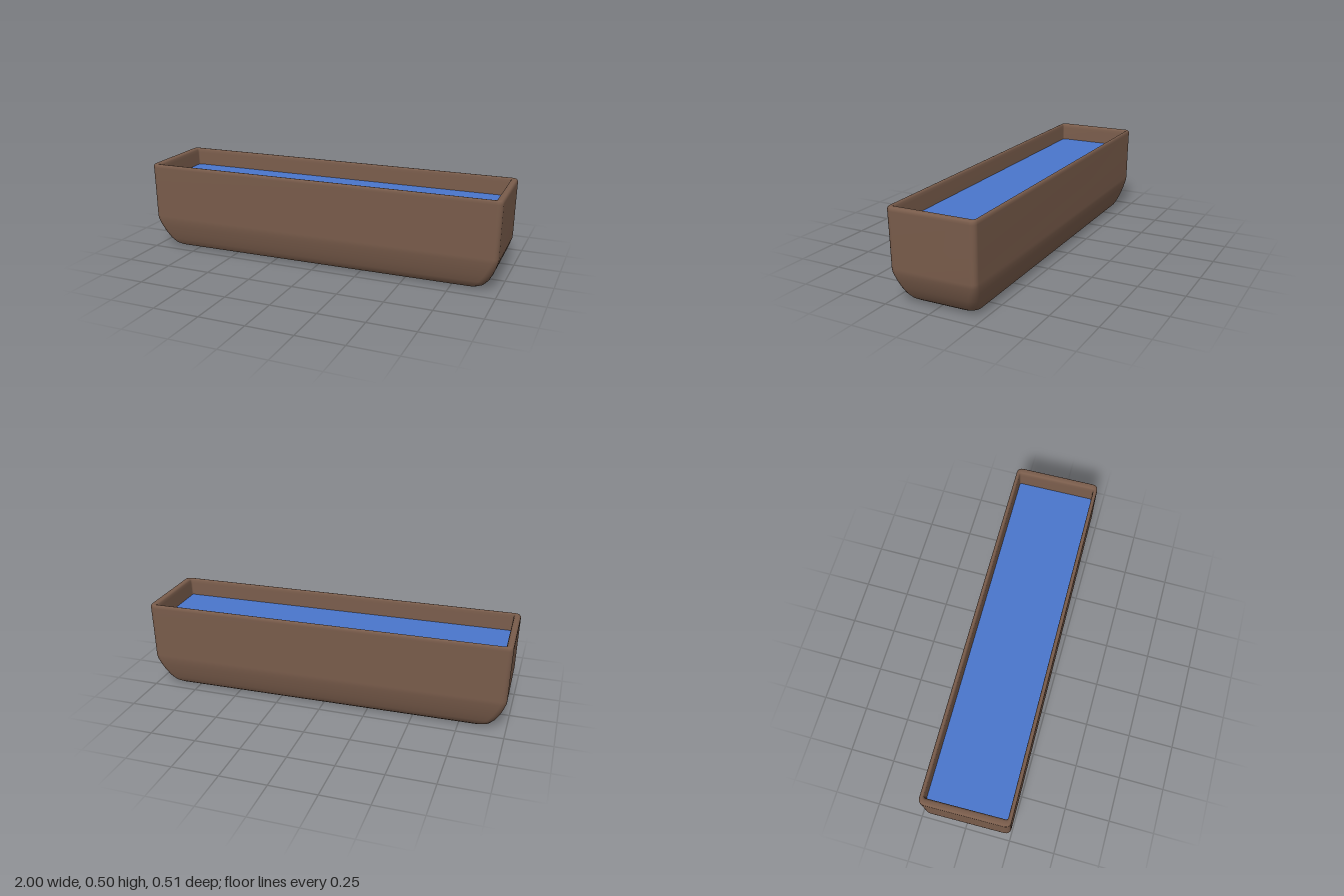
import * as THREE from 'three';

const HALF_X = 0.996, HALF_Z = 0.2375, CORNER_STEPS = 5;

// Rounded rectangle in the xz plane, listed from +x towards +z
function roundedRing(hx, hz, r, y) {
  const pts = [];
  for (let q = 0; q < 4; q++) {
    const sx = q === 0 || q === 3 ? 1 : -1;
    const sz = q < 2 ? 1 : -1;
    for (let i = 0; i <= CORNER_STEPS; i++) {
      const a = (q + i / CORNER_STEPS) * Math.PI / 2;
      pts.push(sx * (hx - r) + r * Math.cos(a), y, sz * (hz - r) + r * Math.sin(a));
    }
  }
  return pts;
}

// Smooth skin through a stack of rings
function loft(rings) {
  const n = rings[0].length / 3, index = [];
  for (let k = 0; k < rings.length - 1; k++) {
    for (let i = 0; i < n; i++) {
      const j = (i + 1) % n;
      const a = k * n + i, b = k * n + j, c = a + n, d = b + n;
      index.push(a, c, b, b, c, d);
    }
  }
  const geo = new THREE.BufferGeometry();
  geo.setAttribute('position', new THREE.Float32BufferAttribute(rings.flat(), 3));
  geo.setIndex(index);
  geo.computeVertexNormals();
  return geo;
}

export function createModel() {
  const group = new THREE.Group();
  group.name = 'waterTrough';

  // Wall profile: [height, inset in x, inset in z, corner radius]
  const profile = [
    [0, HALF_X, HALF_Z, 0],
    [0, 0.18, 0.14, 0.05],
    [0.003, 0.125, 0.09, 0.05],
    [0.009, 0.1, 0.064, 0.05],
    [0.022, 0.08, 0.048, 0.048],
    [0.05, 0.056, 0.035, 0.045],
    [0.09, 0.035, 0.022, 0.04],
    [0.13, 0.019, 0.012, 0.035],
    [0.168, 0.007, 0.004, 0.032],
    [0.19, 0.005, 0.003, 0.03],
    [0.33, 0.003, 0.002, 0.03],
    [0.475, 0, 0, 0.03],
    [0.487, 0.001, 0.001, 0.029],
    [0.494, 0.006, 0.005, 0.026],
    [0.496, 0.012, 0.009, 0.022],
    [0.496, 0.026, 0.014, 0.016],
    [0.493, 0.033, 0.018, 0.013],
    [0.486, 0.037, 0.021, 0.011],
    [0.47, 0.039, 0.022, 0.01],
    [0.36, 0.046, 0.026, 0.01],
  ];
  const body = new THREE.Mesh(
    loft(profile.map(([y, ix, iz, r]) => roundedRing(HALF_X - ix, HALF_Z - iz, r, y))),
    new THREE.MeshStandardMaterial({ color: 0x795c4b })
  );
  body.name = 'troughBody';
  group.add(body);

  // Water surface, its edge tucked into the walls
  const water = new THREE.Mesh(
    new THREE.PlaneGeometry(1.908, 0.43).rotateX(-Math.PI / 2),
    new THREE.MeshStandardMaterial({ color: 0x4a76cc, side: THREE.DoubleSide })
  );
  water.position.y = 0.398;
  water.name = 'water';
  group.add(water);

  // The trough stands slightly turned
  group.rotation.y = 0.0165;
  return group;
}
